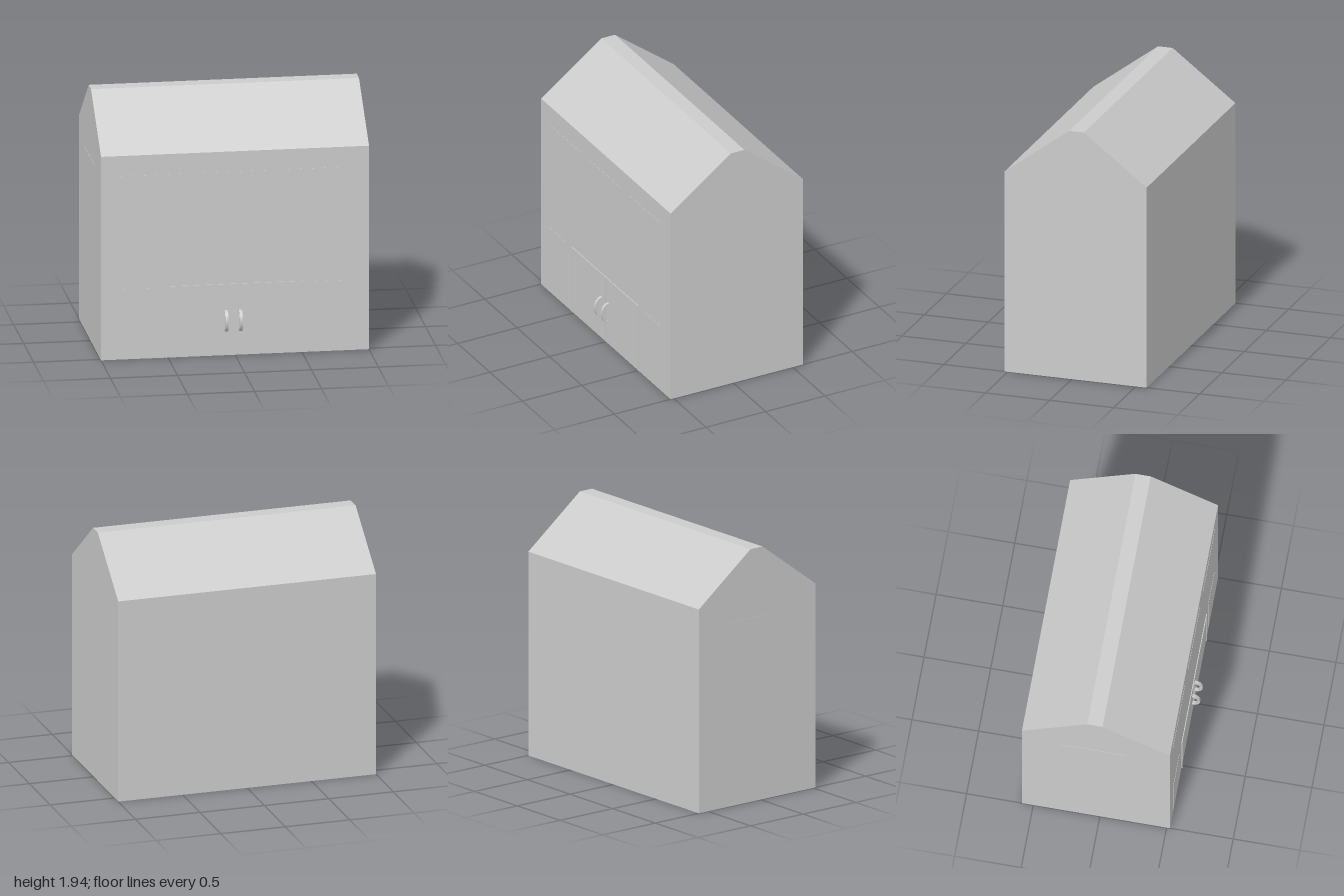
import * as THREE from 'three';
import { toCreasedNormals } from 'three/addons/utils/BufferGeometryUtils.js';

const FRONT = 0.525, BACK = -0.585;

export function createModel() {
  const group = new THREE.Group();
  const material = new THREE.MeshStandardMaterial({ color: 0xcccccc });

  const add = (name, geometry) => {
    const mesh = new THREE.Mesh(geometry, material);
    mesh.name = name;
    group.add(mesh);
    return mesh;
  };

  // Extrudes a [z, y] outline along x, from x0 to x1.
  const extrudeAlongX = (outline, x0, x1) => {
    const shape = new THREE.Shape(outline.map(([z, y]) => new THREE.Vector2(-z, y)));
    return new THREE.ExtrudeGeometry(shape, { depth: x1 - x0, bevelEnabled: false })
      .rotateY(Math.PI / 2).translate(x0, 0, 0);
  };

  // Thin slab lying on the front wall.
  const frontSlab = (name, x0, x1, y0, y1, depth) =>
    add(name, new THREE.BoxGeometry(x1 - x0, y1 - y0, depth))
      .position.set((x0 + x1) / 2, (y0 + y1) / 2, FRONT + depth / 2);

  // House: walls, sloped roof and flat ridge in one gabled profile
  add('house', extrudeAlongX([
    [FRONT, 0], [FRONT, 1.565], [0.02, 1.94], [-0.095, 1.94], [BACK, 1.565], [BACK, 0],
  ], -1, 1));

  // Front windows: three large above, two narrow beside the doors
  for (const x of [-0.875, -0.255, 0.37]) frontSlab('upperWindow', x, x + 0.5, 0.92, 1.41, 0.002);
  for (const x of [-0.87, 0.59]) frontSlab('lowerWindow', x, x + 0.26, 0.05, 0.54, 0.002);

  // Window on the right gable wall
  add('sideWindow', new THREE.BoxGeometry(0.002, 0.49, 0.49)).position.set(-1.001, 1.165, -0.045);

  // Door frame: jambs, centre post and lintels
  for (const x of [-0.52, -0.015, 0.495]) frontSlab('doorPost', x, x + 0.012, 0, 0.548, 0.006);
  frontSlab('doorLintel', -0.508, -0.015, 0.538, 0.548, 0.006);
  frontSlab('doorLintel', -0.003, 0.495, 0.538, 0.548, 0.006);

  // Curved door handles
  const arc = (height, depth, steps = 8) => Array.from({ length: steps + 1 }, (_, i) => {
    const a = -Math.PI / 2 + (i / steps) * Math.PI;
    return [FRONT + depth * Math.cos(a), 0.265 + height * Math.sin(a)];
  });
  const handleOutline = [...arc(0.083, 0.06), ...arc(0.071, 0.043).reverse()];
  for (const x of [-0.08, 0.027]) {
    add('doorHandle', toCreasedNormals(extrudeAlongX(handleOutline, x, x + 0.024), 0.8));
  }

  return group;
}
